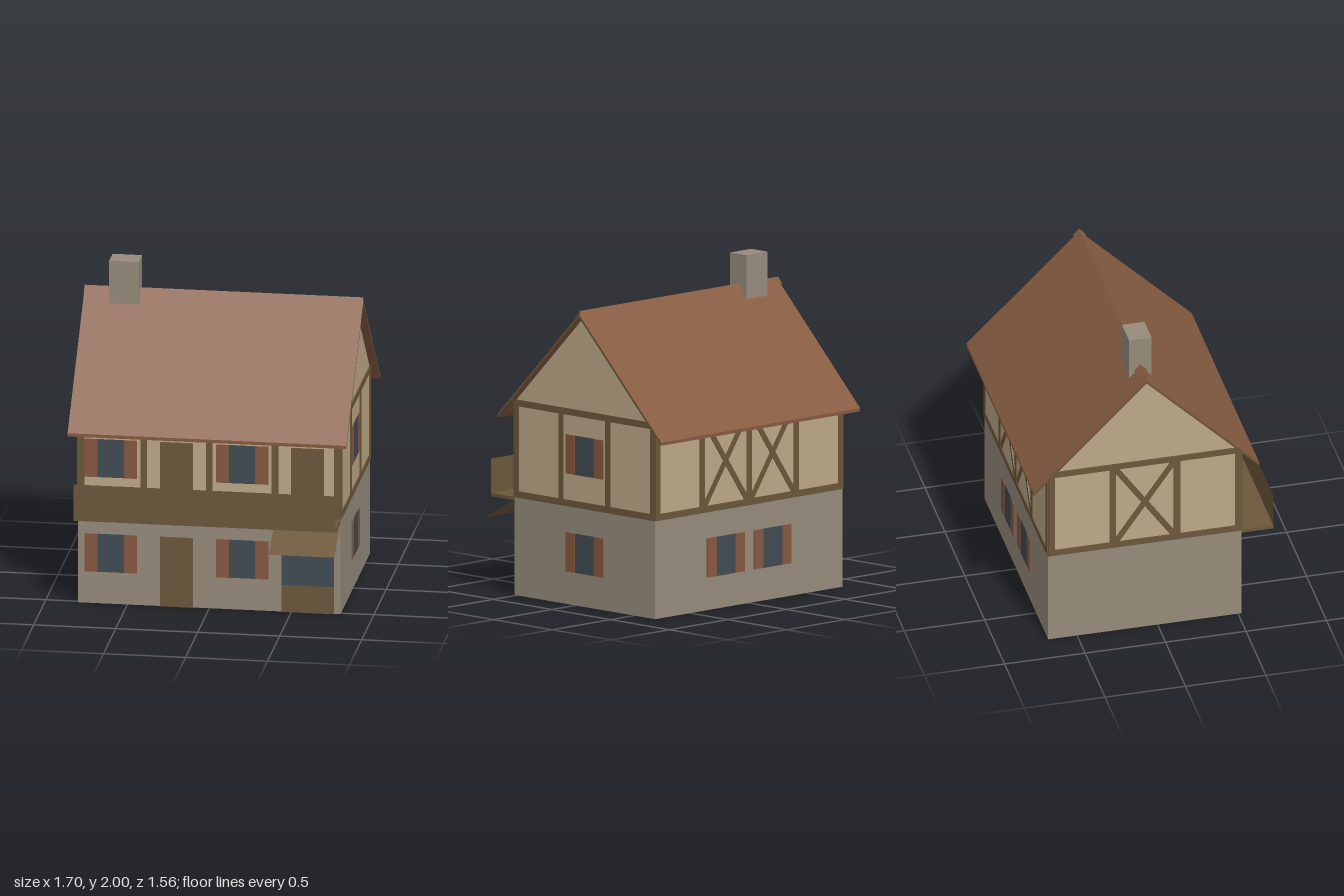
import * as THREE from 'three';

const mat = (name, color, side = THREE.FrontSide) => {
  const m = new THREE.MeshStandardMaterial({ color, side });
  m.name = name;
  return m;
};

export function createModel() {
  const house = new THREE.Group();
  house.name = 'timberFramedHouse';
  const stone = mat('stone', 0x968b7b, THREE.DoubleSide);
  const plaster = mat('plaster', 0xbda987, THREE.DoubleSide);
  const timber = mat('timber', 0x6c573b, THREE.DoubleSide);
  const tile = mat('roofTile', 0x865b40, THREE.DoubleSide);
  const glass = mat('glass', 0x404b53);
  const shutter = mat('shutterPaint', 0x865840);

  const add = (parent, name, geometry, material) => {
    const mesh = new THREE.Mesh(geometry, material);
    mesh.name = name;
    parent.add(mesh);
    return mesh;
  };

  // Flat polygon in the local xy plane
  const panel = (parent, name, points, material) =>
    add(parent, name, new THREE.ShapeGeometry(
      new THREE.Shape(points.map(([x, y]) => new THREE.Vector2(x, y)))), material);

  // Thin rectangular plate lying on a wall
  const plate = (wall, name, x0, x1, y0, y1, material, depth = 0.006) => {
    const mesh = add(wall, name, new THREE.BoxGeometry(x1 - x0, y1 - y0, depth), material);
    mesh.position.set((x0 + x1) / 2, (y0 + y1) / 2, depth / 2);
    return mesh;
  };

  // Window with a shutter on each side
  const shutteredWindow = (wall, x, y) => {
    plate(wall, 'windowPane', x - 0.08, x + 0.08, y, y + 0.24, glass, 0.005);
    plate(wall, 'leftShutter', x - 0.16, x - 0.08, y, y + 0.24, shutter);
    plate(wall, 'rightShutter', x + 0.08, x + 0.16, y, y + 0.24, shutter);
  };

  // Crossed braces filling one bay of the frame
  const crossBrace = (wall, x, bay) => {
    const w = bay - 0.04, h = 0.52;
    for (const s of [-1, 1]) {
      const brace = plate(wall, 'crossBrace', -0.018, 0.018,
        0, Math.hypot(w, h), timber, 0.004);
      brace.position.set(x, 0.9, 0.002);
      brace.rotation.z = s * Math.atan2(w, h);
    }
  };

  // A wall: stone below, plaster above (with a gable if wanted) and a timber frame
  const makeWall = (name, halfWidth, bays, gable, x, z, turn) => {
    const wall = new THREE.Group();
    wall.name = name;
    wall.position.set(x, 0, z);
    wall.rotation.y = turn;
    house.add(wall);
    const h = halfWidth;
    panel(wall, 'stoneWall', [[-h, 0], [h, 0], [h, 0.6], [-h, 0.6]], stone);
    const outline = [[-h, 0.6], [h, 0.6], [h, 1.2]];
    if (gable) outline.push([0, 1.795]);
    outline.push([-h, 1.2]);
    panel(wall, 'plasterWall', outline, plaster);
    plate(wall, 'lowerBeam', -h, h, 0.6, 0.64, timber);
    plate(wall, 'upperBeam', -h, h, 1.16, gable ? 1.2 : 1.19, timber);
    for (let i = 0; i <= bays; i++) {
      const c = -h + (2 * h * i) / bays;
      plate(wall, 'post', i === 0 ? -h : i === bays ? h - 0.04 : c - 0.02,
        i === 0 ? -h + 0.04 : i === bays ? h : c + 0.02, 0.6, 1.19, timber);
    }
    return wall;
  };

  const front = makeWall('frontWall', 0.8, 4, false, 0, 0.52, 0);
  const back = makeWall('backWall', 0.8, 4, false, 0, -0.68, Math.PI);
  const left = makeWall('leftWall', 0.6, 3, true, 0.8, -0.08, Math.PI / 2);
  const right = makeWall('rightWall', 0.6, 3, true, -0.8, -0.08, -Math.PI / 2);

  // Front openings
  for (const x of [-0.6, 0.2])
    for (const y of [0.2, 0.8]) shutteredWindow(front, x, y);
  plate(front, 'frontDoor', -0.3, -0.1, 0, 0.44, timber, 0.008);
  for (const x of [-0.2, 0.6])
    plate(front, 'balconyDoor', x - 0.1, x + 0.1, 0.6, 1.04, timber, 0.008);
  plate(front, 'shopWindow', 0.44, 0.76, 0.17, 0.44, glass);
  plate(front, 'shopCounter', 0.44, 0.76, 0, 0.17, timber, 0.008);

  // Side and back details
  for (const y of [0.2, 0.8]) shutteredWindow(left, 0, y);
  crossBrace(right, 0, 0.4);
  for (const x of [-0.2, 0.2]) {
    shutteredWindow(back, x, 0.2);
    crossBrace(back, x, 0.4);
  }

  // Balcony
  add(house, 'balconyFloor', new THREE.BoxGeometry(1.6, 0.02, 0.2), timber)
    .position.set(0, 0.59, 0.62);
  add(house, 'balconyRailing', new THREE.PlaneGeometry(1.6, 0.23), timber)
    .position.set(0, 0.695, 0.721);

  // Sloping awning over the shop window
  const awning = add(house, 'awning',
    new THREE.PlaneGeometry(0.4, Math.hypot(0.26, 0.14)), timber);
  awning.position.set(0.6, 0.51, 0.65);
  awning.rotation.x = -Math.atan2(0.26, 0.14);

  // Roof: a thin chevron swept along the ridge, with timber verge ends
  const chevron = new THREE.Shape([
    [-0.7, 1.1], [-0.7, 1.08], [0, 1.78], [0.7, 1.08], [0.7, 1.1], [0, 1.8],
  ].map(([x, y]) => new THREE.Vector2(x, y)));
  const roofGeometry = new THREE.ExtrudeGeometry(chevron, { depth: 1.7, bevelEnabled: false });
  roofGeometry.translate(0, 0, -0.85).rotateY(Math.PI / 2);
  add(house, 'roof', roofGeometry, [timber, tile]).position.z = -0.08;

  // Ridge cap
  for (const s of [-1, 1]) {
    const cap = add(house, 'ridgeCap', new THREE.PlaneGeometry(1.7, 0.037 * Math.SQRT2), tile);
    cap.rotation.x = s > 0 ? -Math.PI / 4 : -Math.PI * 3 / 4;
    cap.position.set(0, 1.8, -0.08 + s * 0.0185);
  }

  // Chimney
  add(house, 'chimney', new THREE.BoxGeometry(0.18, 0.35, 0.14), stone)
    .position.set(-0.6, 1.825, -0.08);

  return house;
}
